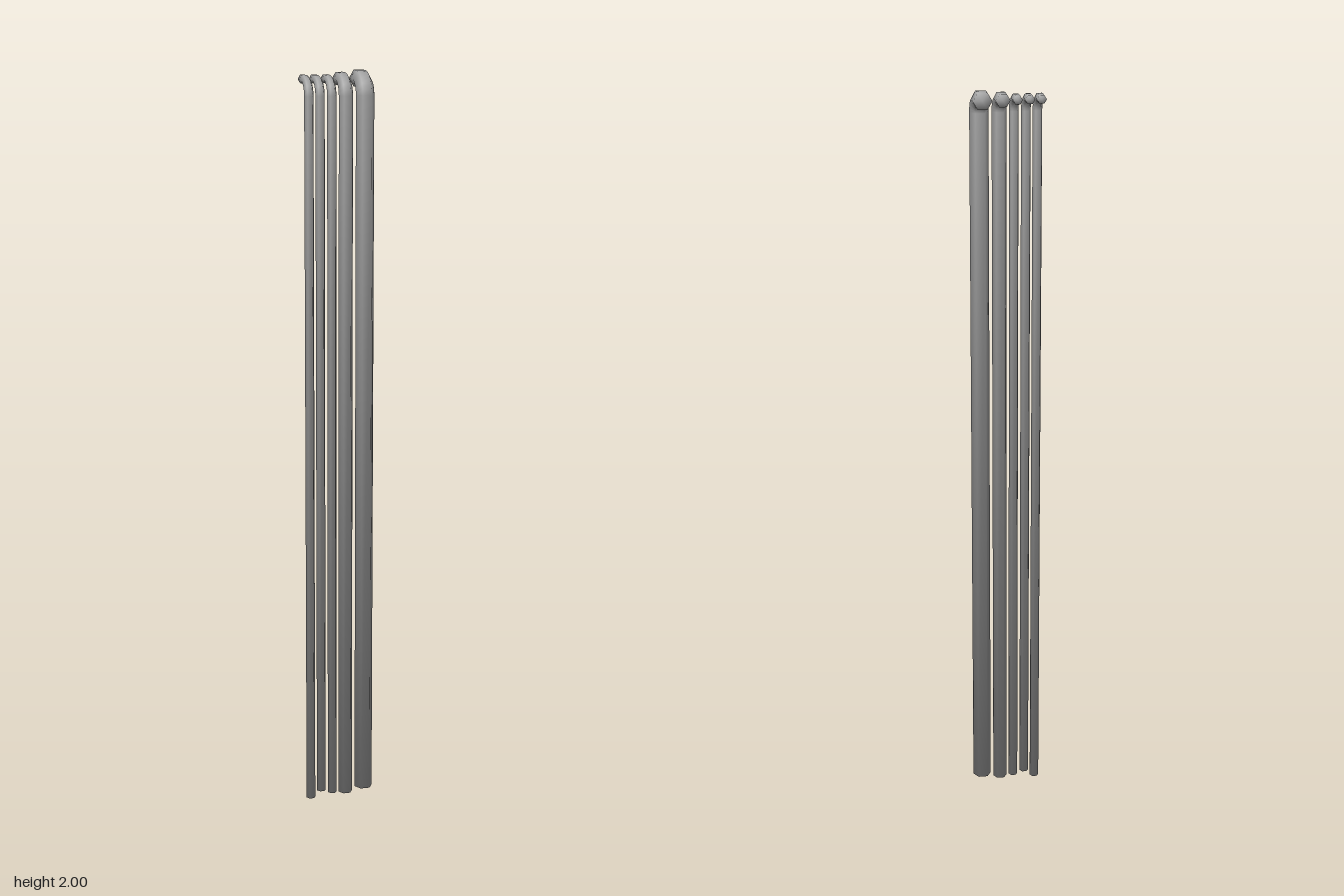
import * as THREE from 'three';

const AXIS_Z = 0.0217; // z of the vertical runs
const AXIS_Y = 1.978;  // y of the horizontal stubs
const BACK_Z = -0.044; // where the stubs end
const BEND = 0.04;     // centre-line radius of the elbow
const STEPS = 6;       // segments in the elbow
const END_TILT = 0.77; // how far shading normals lean over the end caps

// Centre line of a pipe: up, around the elbow, then backwards
function pipePath(bottom) {
  const path = [{ y: bottom, z: AXIS_Z, angle: 0, lean: -END_TILT }];
  for (let i = 0; i <= STEPS; i++) {
    const angle = (i / STEPS) * Math.PI / 2;
    path.push({
      y: AXIS_Y - BEND + BEND * Math.sin(angle),
      z: AXIS_Z - BEND + BEND * Math.cos(angle),
      angle,
      lean: 0,
    });
  }
  path.push({ y: AXIS_Y, z: BACK_Z, angle: Math.PI / 2, lean: END_TILT });
  return path;
}

// Six-sided capped cylinder whose rings are moved onto the centre line,
// smooth-shaded all over, including across the end edges
function pipeGeometry(radius, bottom) {
  const path = pipePath(bottom);
  const rows = path.length - 1;
  const geo = new THREE.CylinderGeometry(radius, radius, rows, 6, rows, false, Math.PI / 2);
  const pos = geo.attributes.position;
  const nor = geo.attributes.normal;
  const right = new THREE.Vector3(1, 0, 0);
  const v = new THREE.Vector3();
  for (let i = 0; i < pos.count; i++) {
    const ring = path[Math.round(pos.getY(i) + rows / 2)];
    v.fromBufferAttribute(pos, i).setY(0);
    const n = v.clone().divideScalar(radius).setY(ring.lean).normalize();
    v.applyAxisAngle(right, -ring.angle);
    n.applyAxisAngle(right, -ring.angle);
    pos.setXYZ(i, v.x, v.y + ring.y, v.z + ring.z);
    nor.setXYZ(i, n.x, n.y, n.z);
  }
  return geo;
}

export function createModel() {
  const group = new THREE.Group();
  group.name = 'pipes';
  const material = new THREE.MeshStandardMaterial({ color: 0xa6a6a6 });

  // x position, radius and lower end of each pipe
  const pipes = [
    ['thinPipeOuter', -0.082, 0.0125, 0],
    ['thinPipeMiddle', -0.052, 0.0125, 0.018],
    ['thinPipeInner', -0.0205, 0.0125, 0.009],
    ['mediumPipe', 0.0175, 0.0192, 0.007],
    ['thickPipe', 0.0695, 0.025, 0.018],
  ];
  for (const [name, x, radius, bottom] of pipes) {
    const mesh = new THREE.Mesh(pipeGeometry(radius, bottom), material);
    mesh.name = name;
    mesh.position.x = x;
    group.add(mesh);
  }
  return group;
}
